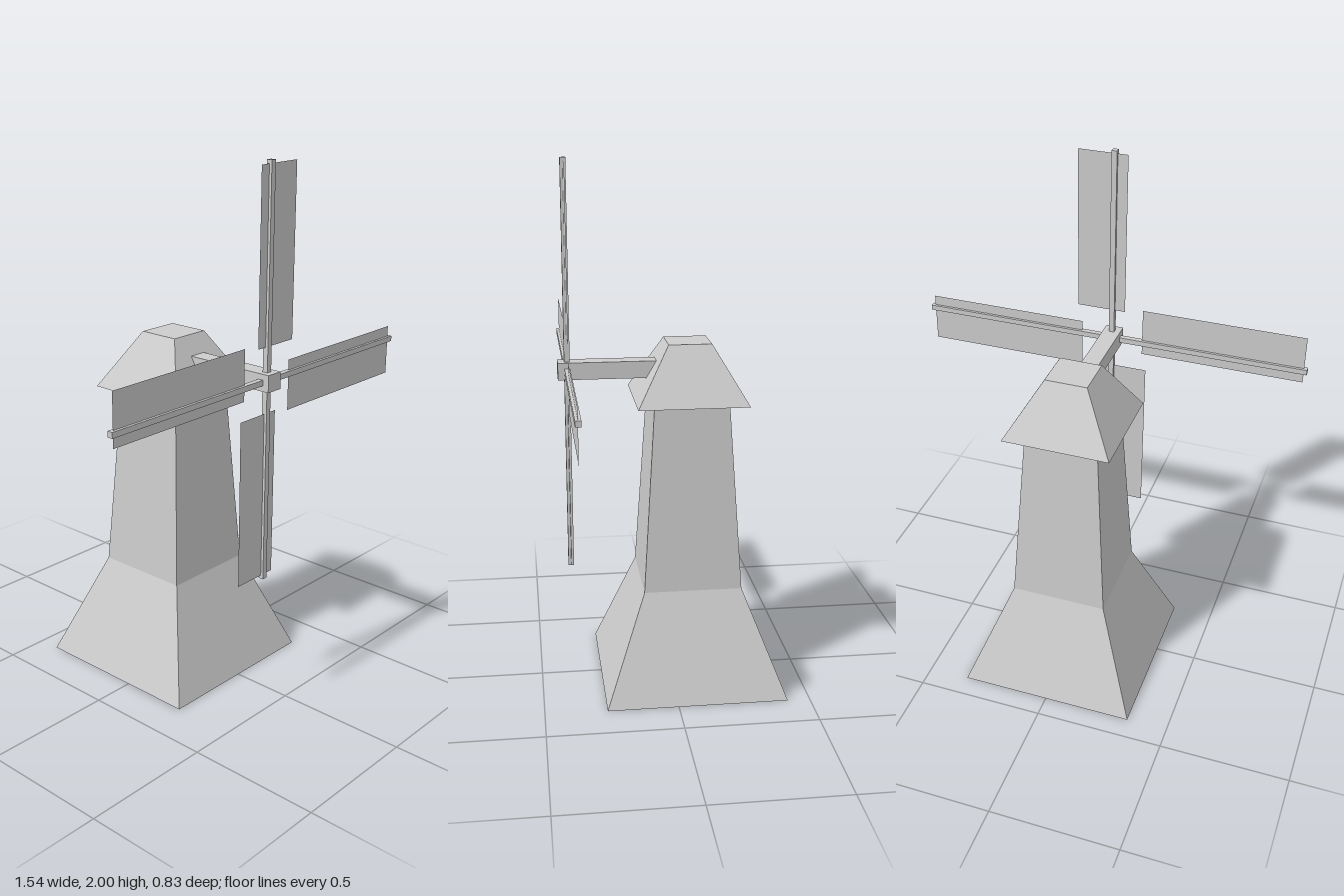
import * as THREE from 'three';

export function createModel() {
  const group = new THREE.Group();
  const grey = new THREE.MeshStandardMaterial({ color: 0xcccccc, flatShading: true, side: THREE.DoubleSide });
  grey.name = 'plain grey';

  const towerZ = -0.074;
  const hubY = 1.228;
  const hubZ = 0.377;

  const add = (parent, name, geometry, x, y, z) => {
    const mesh = new THREE.Mesh(geometry, grey);
    mesh.name = name;
    mesh.position.set(x, y, z);
    parent.add(mesh);
    return mesh;
  };

  // Square tapered block, given half widths and its bottom and top heights
  const taper = (name, bottomHalf, topHalf, y0, y1, open = false) => {
    const geometry = new THREE.CylinderGeometry(topHalf * Math.SQRT2, bottomHalf * Math.SQRT2, y1 - y0, 4, 1, open);
    geometry.rotateY(Math.PI / 4);
    return add(group, name, geometry, 0, (y0 + y1) / 2, towerZ);
  };

  // Tower and cap
  taper('base', 0.341, 0.185, 0, 0.4);
  taper('tower', 0.185, 0.14, 0.4, 1.115, true);
  taper('roof', 0.206, 0.081, 1.115, 1.328);

  // Axle running from inside the roof out past the sails
  add(group, 'axle', new THREE.BoxGeometry(0.068, 0.064, 0.41), 0, hubY, 0.207);

  // Rotor: two crossing spars and four offset sails
  const rotor = new THREE.Group();
  rotor.name = 'rotor';
  rotor.position.set(0, hubY, hubZ);
  group.add(rotor);

  add(rotor, 'horizontalSpar', new THREE.BoxGeometry(1.544, 0.021, 0.021), 0, 0, 0);
  add(rotor, 'verticalSpar', new THREE.BoxGeometry(0.021, 1.544, 0.021), 0, 0, 0);

  for (let i = 0; i < 4; i++) {
    const arm = new THREE.Group();
    arm.name = 'sailArm' + (i + 1);
    arm.rotation.z = i * Math.PI / 2;
    add(arm, 'sail', new THREE.PlaneGeometry(0.191, 0.636), 0.045, 0.441, 0);
    rotor.add(arm);
  }

  return group;
}
